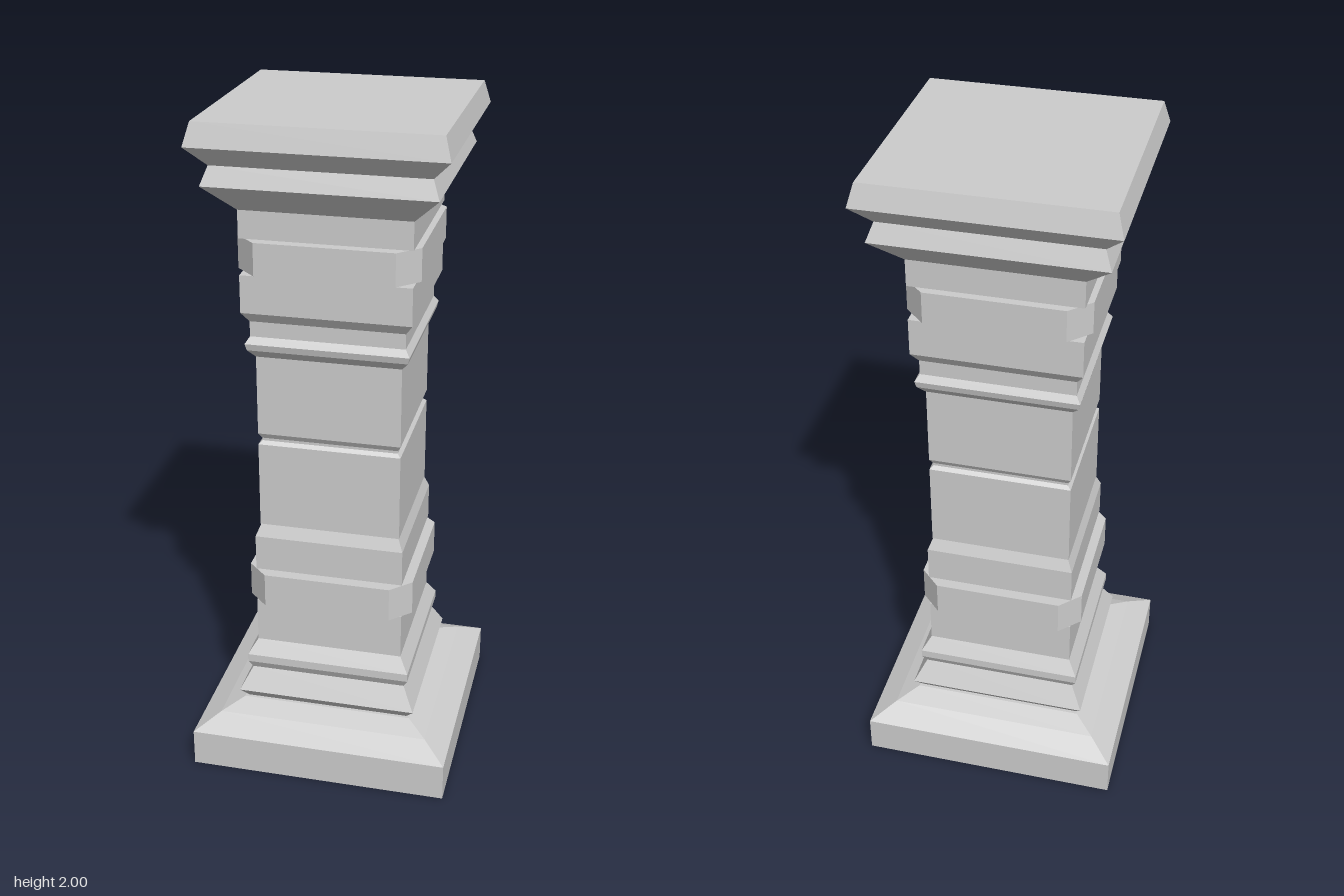
import * as THREE from 'three';

const material = new THREE.MeshStandardMaterial({ color: 0xcccccc, flatShading: true });

function addPart(group, name, geometry) {
  const flat = geometry.index ? geometry.toNonIndexed() : geometry;
  flat.computeVertexNormals();
  const mesh = new THREE.Mesh(flat, material);
  mesh.name = name;
  group.add(mesh);
  return mesh;
}

// Square moulding: [half width, height] pairs from bottom to top, closed at both ends
function moulding(profile) {
  const points = profile.map(([half, y]) => new THREE.Vector2(half * Math.SQRT2, y));
  points.unshift(new THREE.Vector2(0, profile[0][1]));
  points.push(new THREE.Vector2(0, profile[profile.length - 1][1]));
  return new THREE.LatheGeometry(points, 4, Math.PI / 4);
}

// Square band with cut corners; flat is the half length of each long face
function cutCornerBand(half, flat, bottom, top) {
  const shape = new THREE.Shape([
    [half, -flat], [half, flat], [flat, half], [-flat, half],
    [-half, flat], [-half, -flat], [-flat, -half], [flat, -half],
  ].map(([x, y]) => new THREE.Vector2(x, y)));
  return new THREE.ExtrudeGeometry(shape, { depth: top - bottom, bevelEnabled: false })
    .rotateX(-Math.PI / 2)
    .translate(0, bottom, 0);
}

export function createModel() {
  const pillar = new THREE.Group();
  pillar.name = 'pillar';

  // Plinth with sloped top
  addPart(pillar, 'plinth', moulding([
    [0.39, 0], [0.39, 0.115], [0.32, 0.155], [0.26, 0.18],
  ]));

  // Stepped foot mouldings and lower block, recessed behind the band
  addPart(pillar, 'foot', moulding([
    [0.25, 0.18], [0.273, 0.21], [0.237, 0.28], [0.25, 0.305], [0.25, 0.33],
    [0.223, 0.375], [0.223, 0.515], [0.2, 0.515], [0.2, 0.625],
    [0.223, 0.625], [0.223, 0.735], [0.208, 0.773],
  ]));
  addPart(pillar, 'lowerBand', cutCornerBand(0.25, 0.19, 0.515, 0.62));

  // Shaft with a narrow groove at mid height
  addPart(pillar, 'shaft', moulding([
    [0.21, 0.773], [0.21, 1.035], [0.2, 1.045], [0.2, 1.053], [0.21, 1.07], [0.21, 1.31],
  ]));

  // Neck mouldings and upper block, recessed behind the band
  addPart(pillar, 'neck', moulding([
    [0.21, 1.31], [0.23, 1.335], [0.235, 1.355], [0.222, 1.375], [0.222, 1.42],
    [0.242, 1.45], [0.242, 1.56], [0.21, 1.56], [0.21, 1.665],
    [0.242, 1.665], [0.242, 1.745],
  ]));
  addPart(pillar, 'upperBand', cutCornerBand(0.257, 0.197, 1.565, 1.66));

  // Flared two-tier capital
  addPart(pillar, 'capital', moulding([
    [0.242, 1.745], [0.32, 1.825], [0.3, 1.878], [0.352, 1.935], [0.334, 2],
  ]));

  return pillar;
}
